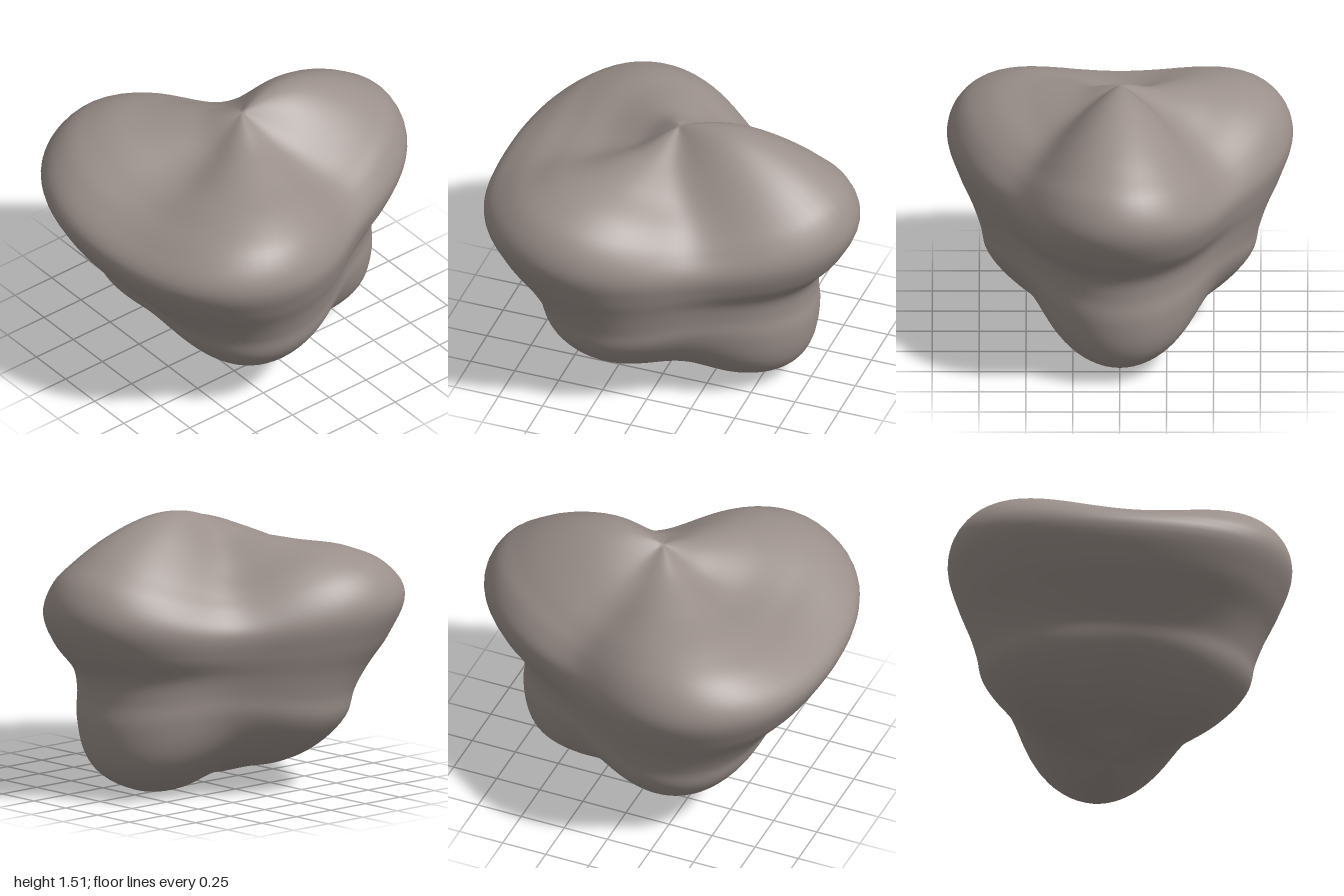
import * as THREE from 'three';
import { mergeVertices } from 'three/addons/utils/BufferGeometryUtils.js';

// Height of the point that all radii are measured from
const CENTRE_Y = 0.755;

// Angle down from the top, in degrees, of each station along a profile
const ANGLES = [0, 20, 40, 55, 65, 75, 85, 95, 105, 115, 130, 145, 160, 180];

// Radii from top to bottom, at 0, 60, 120 and 180 degrees around from +x
const PROFILES = [
  // through the tall side lobe
  [0.705, 0.805, 0.89, 0.975, 1.04, 1.035, 0.925, 0.80, 0.795, 0.855, 0.925, 0.88, 0.80, 0.70],
  // through the valley beside it
  [0.705, 0.645, 0.63, 0.66, 0.695, 0.72, 0.68, 0.635, 0.63, 0.655, 0.68, 0.69, 0.69, 0.70],
  // through the front and back lobes
  [0.705, 0.67, 0.77, 0.95, 1.055, 1.075, 0.975, 0.88, 0.84, 0.85, 0.805, 0.745, 0.69, 0.70],
  // through the shallow saddle between those two
  [0.705, 0.60, 0.63, 0.77, 0.92, 1.035, 0.94, 0.81, 0.725, 0.71, 0.68, 0.66, 0.645, 0.70],
];

const CURVES = PROFILES.map(
  (radii) => new THREE.SplineCurve(radii.map((r, i) => new THREE.Vector2(ANGLES[i], r))),
);

// Smooth wave around the axis through the four profile radii, the same on both z sides
function radiusAround([a, b, c, d], phi) {
  return (a + 2 * b + 2 * c + d) / 6
    + ((a + b - c - d) / 3) * Math.cos(phi)
    + ((a - b - c + d) / 3) * Math.cos(2 * phi)
    + ((a - 2 * b + 2 * c - d) / 6) * Math.cos(3 * phi);
}

export function createModel() {
  const group = new THREE.Group();
  group.name = 'lobedLump';

  // Ball with shared vertices, so the normals come out smooth
  let geometry = new THREE.SphereGeometry(1, 96, 72);
  geometry.deleteAttribute('normal');
  geometry.deleteAttribute('uv');
  geometry = mergeVertices(geometry, 1e-4);

  // Move every vertex out to the lobed surface
  const pos = geometry.attributes.position;
  const p = new THREE.Vector3();
  for (let i = 0; i < pos.count; i++) {
    p.fromBufferAttribute(pos, i);
    const along = Math.acos(THREE.MathUtils.clamp(p.y, -1, 1)) / Math.PI;
    const phi = Math.atan2(p.z, p.x);
    const stations = CURVES.map((curve) => curve.getPoint(along));
    const theta = THREE.MathUtils.degToRad(stations[0].x);
    const r = radiusAround(stations.map((s) => s.y), phi);
    const out = r * Math.sin(theta);
    pos.setXYZ(i, out * Math.cos(phi), CENTRE_Y + r * Math.cos(theta), out * Math.sin(phi));
  }
  geometry.computeVertexNormals();

  const body = new THREE.Mesh(geometry, new THREE.MeshStandardMaterial({ color: 0x9b908b }));
  body.name = 'body';
  group.add(body);
  return group;
}
